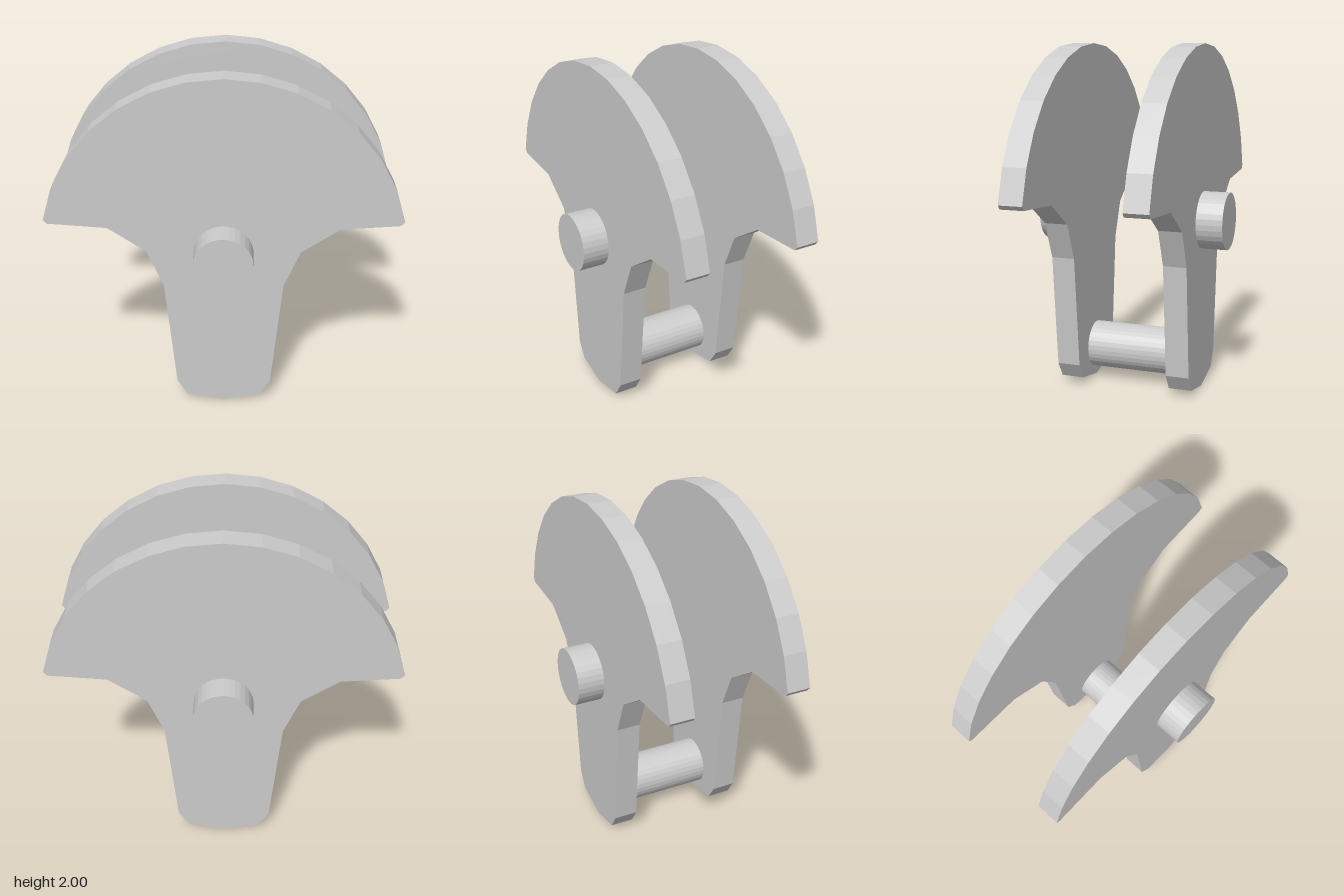
import * as THREE from 'three';

export function createModel() {
  const group = new THREE.Group();
  const material = new THREE.MeshStandardMaterial({ color: 0xcccccc, flatShading: true });
  const inner = 0.265, outer = 0.4, end = 0.553;

  // Half outline of a web: faceted counterweight arc, then the shoulder and arm
  const half = [];
  const steps = 7, sweep = THREE.MathUtils.degToRad(78.4);
  for (let i = 0; i <= steps; i++) {
    const a = (sweep * i) / steps;
    half.push([Math.sin(a), 1 + Math.cos(a)]);
  }
  half.push([0.96, 1.177], [0.635, 1.153], [0.425, 1.01], [0.335, 0.795],
    [0.273, 0.14], [0.213, 0.045], [0, 0.002]);

  // Mirror it to close the outline
  const mirrored = half.slice(1, -1).reverse().map(([x, y]) => [-x, y]);
  const outline = new THREE.Shape([...half, ...mirrored].map(([x, y]) => new THREE.Vector2(x, y)));
  const webGeometry = new THREE.ExtrudeGeometry(outline, { depth: outer - inner, bevelEnabled: false });

  const addPin = (name, radius, y, z0, z1) => {
    const geometry = new THREE.CylinderGeometry(radius, radius, z1 - z0, 32).rotateX(Math.PI / 2);
    const pin = new THREE.Mesh(geometry, material);
    pin.name = name;
    pin.position.set(0, y, (z0 + z1) / 2);
    group.add(pin);
  };

  // Two counterweight webs
  for (const [name, z] of [['frontWeb', inner], ['backWeb', -outer]]) {
    const web = new THREE.Mesh(webGeometry, material);
    web.name = name;
    web.position.z = z;
    group.add(web);
  }

  // Main journals outside the webs, crank pin between them
  addPin('frontJournal', 0.165, 1.003, outer, end);
  addPin('backJournal', 0.165, 1.003, -end, -outer);
  addPin('crankPin', 0.137, 0.196, -inner, inner);

  return group;
}
